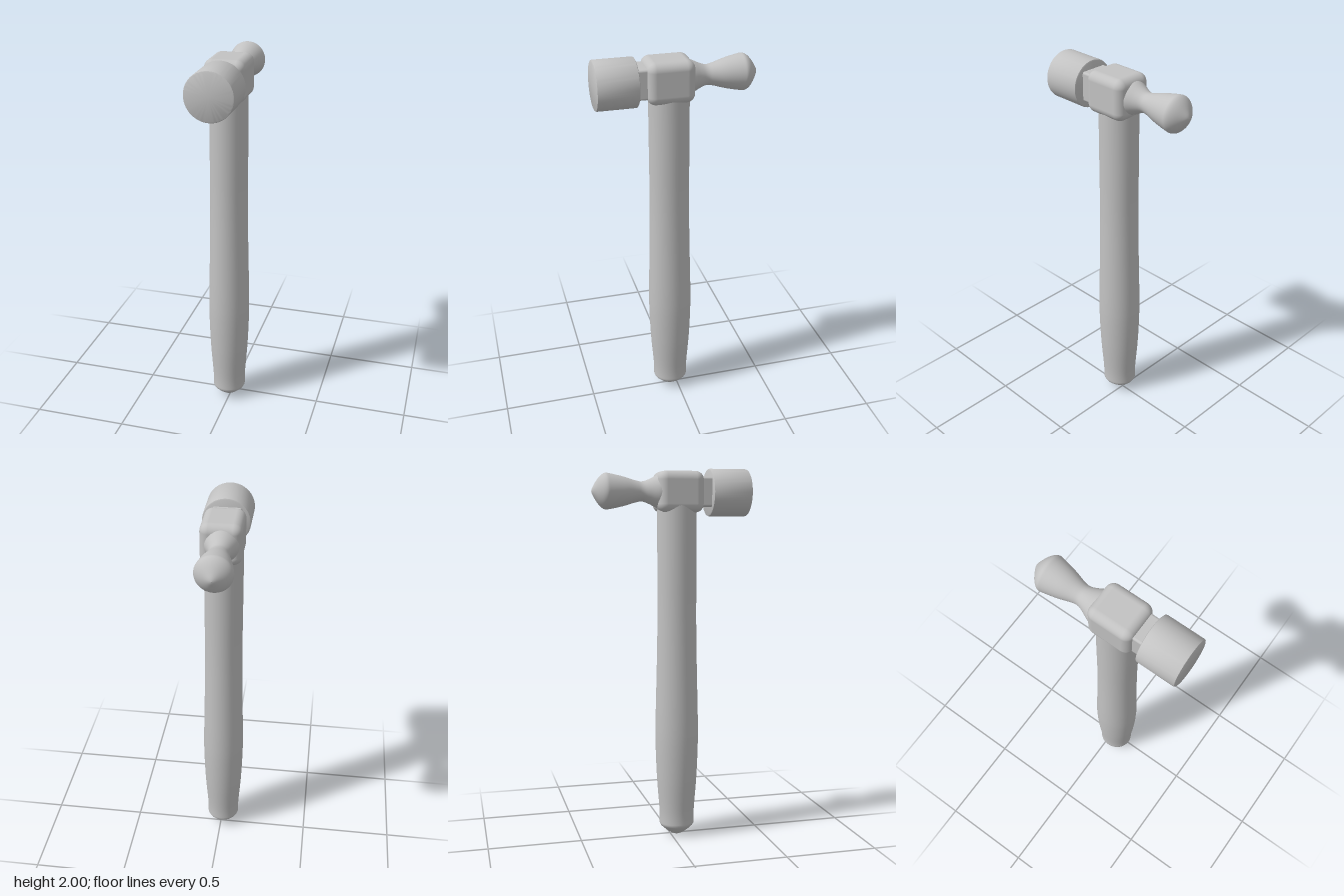
import * as THREE from 'three';
import { toCreasedNormals } from 'three/addons/utils/BufferGeometryUtils.js';
import { RoundedBoxGeometry } from 'three/addons/geometries/RoundedBoxGeometry.js';

const steel = new THREE.MeshStandardMaterial({ color: 0xc2c2c2 });
steel.name = 'plain grey';

const toPoints = (pairs) => pairs.map(([r, h]) => new THREE.Vector2(r, h));

// Smooth profile through [radius, height] pairs
const smoothProfile = (pairs, n) =>
  new THREE.SplineCurve(toPoints(pairs)).getPoints(n).map((p) => new THREE.Vector2(Math.max(p.x, 0), p.y));

function addPart(group, name, geometry, x, y, z) {
  const mesh = new THREE.Mesh(geometry, steel);
  mesh.name = name;
  mesh.position.set(x, y, z);
  group.add(mesh);
  return mesh;
}

export function createModel() {
  const group = new THREE.Group();
  group.name = 'hammer';

  // Turned handle: blunt tip, swelling grip, straight shaft running into the head
  const grip = smoothProfile([
    [0.092, 0.065], [0.093, 0.14], [0.106, 0.32], [0.113, 0.5], [0.113, 0.65],
    [0.106, 0.95], [0.102, 1.2], [0.102, 1.5], [0.102, 1.85],
  ], 48);
  const tip = toPoints([[0, 0], [0.022, 0.004], [0.046, 0.018], [0.07, 0.038], [0.087, 0.055]]);
  const handle = new THREE.LatheGeometry([...tip, ...grip, new THREE.Vector2(0, 1.85)], 48);
  handle.scale(0.975, 1, 1.03);
  addPart(group, 'handle', toCreasedNormals(handle, 0.7), -0.01, 0, 0.035);

  // Head block around the top of the handle
  addPart(group, 'headBlock', new RoundedBoxGeometry(0.21, 0.215, 0.245, 5, 0.045), -0.005, 1.877, 0.042);

  // Short neck between block and striking face
  addPart(group, 'neck', new RoundedBoxGeometry(0.15, 0.155, 0.1, 3, 0.012), -0.005, 1.877, 0.185);

  // Striking face with a fine bevel on both rims
  const face = new THREE.LatheGeometry(toPoints([
    [0, 0.208], [0.117, 0.208], [0.123, 0.211], [0.125, 0.217],
    [0.125, 0.411], [0.123, 0.417], [0.117, 0.42], [0, 0.42],
  ]), 64);
  face.rotateX(Math.PI / 2);
  addPart(group, 'strikingFace', toCreasedNormals(face, 0.6), 0, 1.875, 0);

  // Waisted peen with a pointed dome end
  const peen = new THREE.LatheGeometry(smoothProfile([
    [0, -0.422], [0.022, -0.414], [0.068, -0.384], [0.092, -0.355], [0.091, -0.325], [0.076, -0.255],
    [0.057, -0.19], [0.052, -0.155], [0.063, -0.12], [0.084, -0.076], [0.09, -0.05],
  ], 50), 48);
  peen.rotateX(Math.PI / 2);
  addPart(group, 'peen', peen, -0.011, 1.878, 0);

  return group;
}
